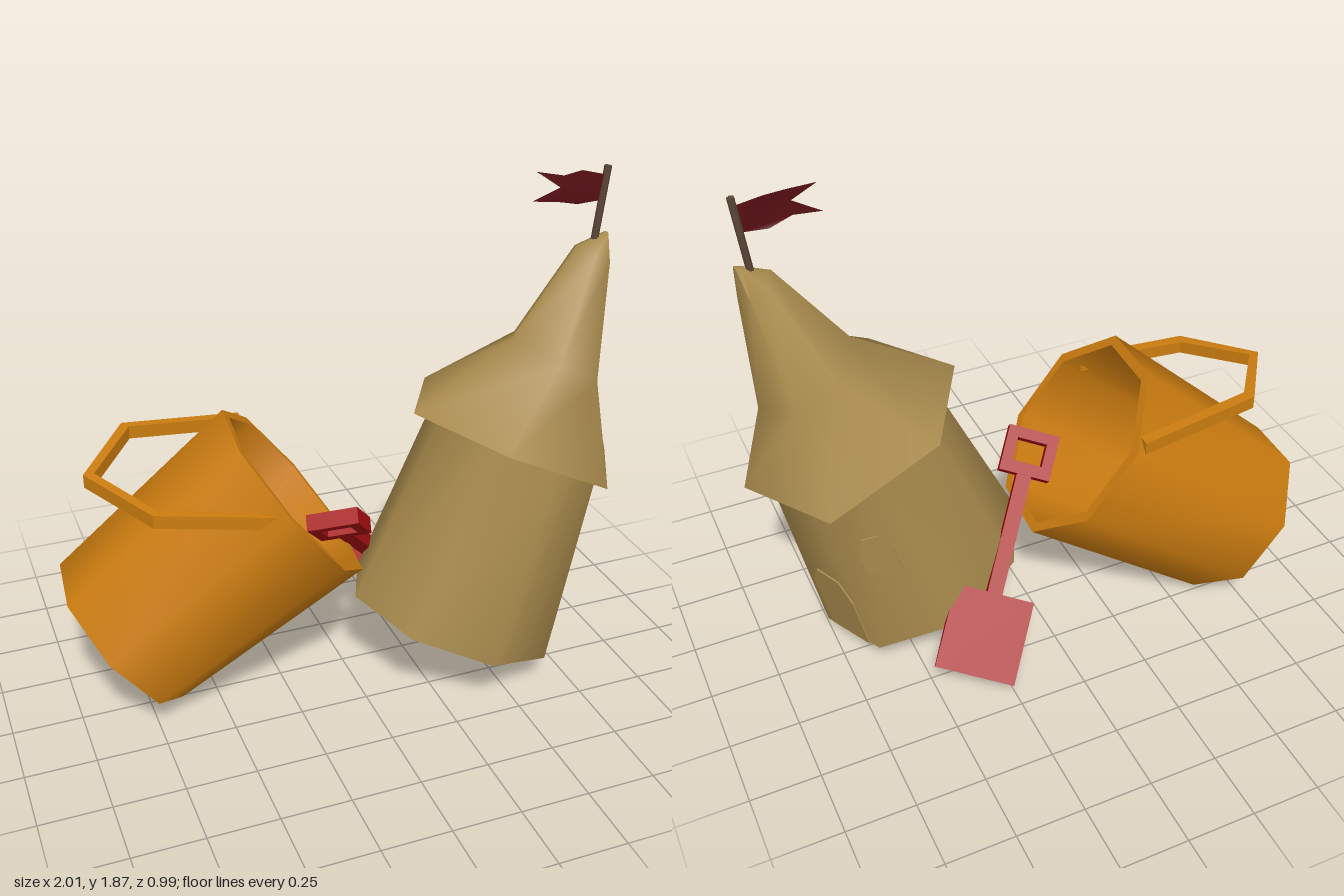
import * as THREE from 'three';
import { toCreasedNormals } from 'three/addons/utils/BufferGeometryUtils.js';

const V = (x, y, z) => new THREE.Vector3(x, y, z);
const mat = (name, color, side = THREE.FrontSide) => {
  const m = new THREE.MeshStandardMaterial({ color, side });
  m.name = name;
  return m;
};

// Skin through rings of points (counter-clockwise seen from the end), with fan caps
function loft(rings, crease) {
  const out = [];
  const tri = (...ps) => ps.forEach((p) => out.push(p.x, p.y, p.z));
  const mid = (r) => r.reduce((s, p) => s.add(p), V(0, 0, 0)).divideScalar(r.length);
  const n = rings[0].length, last = rings[rings.length - 1];
  const c0 = mid(rings[0]), c1 = mid(last);
  for (let j = 0; j < n; j++) {
    const k = (j + 1) % n;
    for (let i = 0; i < rings.length - 1; i++) {
      const a = rings[i][j], b = rings[i][k], c = rings[i + 1][k], d = rings[i + 1][j];
      tri(a, b, c);
      tri(a, c, d);
    }
    tri(c0, rings[0][k], rings[0][j]);
    tri(c1, last[j], last[k]);
  }
  const g = new THREE.BufferGeometry();
  g.setAttribute('position', new THREE.Float32BufferAttribute(out, 3));
  return toCreasedNormals(g, crease);
}

// Place an object by origin, up direction and approximate sideways direction
function orient(obj, origin, up, side) {
  const y = up.clone().normalize();
  const z = side.clone().cross(y).normalize();
  const x = y.clone().cross(z);
  obj.quaternion.setFromRotationMatrix(new THREE.Matrix4().makeBasis(x, y, z));
  obj.position.copy(origin);
  return obj;
}

const outline = (pts) => new THREE.Shape(pts.map(([x, y]) => new THREE.Vector2(x, y)));
const slab = (shape, depth) => new THREE.ExtrudeGeometry(shape, { depth, bevelEnabled: false });

export function createModel() {
  const model = new THREE.Group();
  const sand = mat('sand', 0xa88a4c);
  const orange = mat('bucketOrange', 0xcb7c10);
  const red = mat('shovelRed', 0xa60e10);
  const flagRed = mat('flagRed', 0x560e12, THREE.DoubleSide);
  const wood = mat('poleBrown', 0x5c4638);
  const add = (name, geo, material, parent = model) => {
    const m = new THREE.Mesh(geo, material);
    m.name = name;
    parent.add(m);
    return m;
  };

  // Sand tower: leaning, tapered eight-sided body
  const tower = new THREE.Group();
  tower.name = 'sandTower';
  model.add(tower);
  const ring8 = (cx, cy, ux, uy, w) => Array.from({ length: 8 }, (_, j) => {
    const a = (j * Math.PI) / 4;
    return V(cx + ux * Math.cos(a), cy + uy * Math.cos(a), 0.135 - w * Math.sin(a));
  });
  const foot = ring8(0.38, 0.215, 0.38, -0.152, 0.375);
  const top = ring8(0.62, 0.95, 0.3, -0.1, 0.325);
  add('towerBody', loft([foot, top], 1.0), sand, tower);

  // Door and window: thin plates lying on two faces of the body
  const panel = (name, j, h, pts) => {
    const base = foot[j].clone().lerp(foot[j + 1], 0.5);
    const up = top[j].clone().lerp(top[j + 1], 0.5).sub(base).normalize();
    const m = add(name, slab(outline(pts), 0.008), sand, tower);
    orient(m, base.clone().addScaledVector(up, h), up, foot[j + 1].clone().sub(foot[j]));
  };
  panel('door', 0, 0.01, [[-0.1, 0], [0.1, 0], [0.1, 0.22], [0.06, 0.31], [-0.05, 0.32], [-0.1, 0.24]]);
  panel('window', 1, 0.36, [[-0.06, 0], [0.06, 0], [0.06, 0.1], [0.03, 0.17], [-0.03, 0.17], [-0.06, 0.1]]);

  // Roof: six-sided rings given as right, right-mid, left-mid, left points and half depth
  const ring6 = ([r, rm, lm, l, w]) => [
    V(...r, 0.13), V(...rm, 0.13 - w), V(...lm, 0.13 - w),
    V(...l, 0.13), V(...lm, 0.13 + w), V(...rm, 0.13 + w),
  ];
  add('roof', loft([
    [[0.995, 0.79], [0.8, 0.83], [0.41, 1.025], [0.215, 1.065], 0.345],
    [[0.91, 1.1], [0.83, 1.16], [0.68, 1.24], [0.58, 1.29], 0.17],
    [[0.925, 1.53], [0.9, 1.55], [0.84, 1.575], [0.81, 1.6], 0.07],
    [[0.925, 1.635], [0.92, 1.635], [0.9, 1.63], [0.89, 1.628], 0.012],
  ].map(ring6), 1.2), sand, tower);

  // Flag pole and wavy swallow-tailed flag
  const poleFoot = V(0.87, 1.58, 0.13), poleTop = V(0.903, 1.87, 0.13);
  const pole = add('flagPole', new THREE.CylinderGeometry(0.013, 0.013, poleFoot.distanceTo(poleTop), 6), wood, tower);
  orient(pole, poleFoot.clone().lerp(poleTop, 0.5), poleTop.clone().sub(poleFoot), V(1, 0, 0));
  const flagGeo = new THREE.ShapeGeometry(outline([
    [0.895, 1.84], [0.88, 1.75], [0.8, 1.745], [0.72, 1.765], [0.63, 1.77],
    [0.72, 1.815], [0.64, 1.87], [0.73, 1.855], [0.81, 1.86],
  ]));
  const fp = flagGeo.attributes.position;
  for (let i = 0; i < fp.count; i++) fp.setZ(i, 0.13 + 0.012 * Math.sin((fp.getX(i) - 0.89) * 30));
  flagGeo.computeVertexNormals();
  add('flag', flagGeo, flagRed, tower);

  // Bucket: hollow eight-sided shell lying tipped back
  const bucket = new THREE.Group();
  bucket.name = 'bucket';
  model.add(bucket);
  const bFoot = V(-0.81, 0.25, -0.12), bTop = V(-0.175, 0.755, -0.03);
  const axis = bTop.clone().sub(bFoot), len = axis.length();
  const profile = [[0, 0], [0.335, 0], [0.386, len], [0.348, len], [0.3, 0.035], [0, 0.035]];
  const shell = add('bucketShell', toCreasedNormals(new THREE.LatheGeometry(
    profile.map(([r, y]) => new THREE.Vector2(r, y)), 8, Math.PI / 8), 1.0), orange, bucket);
  orient(shell, bFoot, axis, V(1, -1.25, 0));

  // Bucket handle: bent flat strip from the back side round to the front side
  const bail = [
    [-0.27, 0.9, -0.36, 0, -1], [-0.7, 0.945, -0.335, -0.5, -1], [-0.885, 0.908, -0.08, -1, 0],
    [-0.725, 0.862, 0.175, -0.5, 1], [-0.34, 0.825, 0.27, 0, 1],
  ].map(([x, y, z, ox, oz]) => [[1, -1], [-1, -1], [-1, 1], [1, 1]].map(
    ([o, u]) => V(x + o * ox * 0.019, y + u * 0.024, z + o * oz * 0.019)));
  add('bucketHandle', loft(bail, 0.3), orange, bucket);

  // Shovel: local y runs up the shaft, local z out of the open scoop
  const shovel = orient(new THREE.Group(), V(0.24, 0.32, -0.25), V(-0.517, 0.655, 0.552), V(0.83, 0.277, 0.484));
  shovel.name = 'shovel';
  model.add(shovel);
  const box = (name, w, h, d, x, y, z) =>
    add(name, new THREE.BoxGeometry(w, h, d), red, shovel).position.set(x, y, z);
  box('shovelShaft', 0.055, 0.46, 0.055, 0, 0.22, 0.035);
  box('scoopFloor', 0.28, 0.3, 0.018, 0, -0.15, 0.009);
  box('scoopBack', 0.28, 0.025, 0.085, 0, -0.0125, 0.0425);
  for (const s of [-1, 1]) {
    // Side wall tapering toward the tip
    const wall = add('scoopSide', slab(outline([[0, 0], [0, 0.085], [-0.3, 0.02], [-0.3, 0]]), 0.025), red, shovel);
    wall.geometry.applyMatrix4(new THREE.Matrix4().makeBasis(V(0, 1, 0), V(0, 0, 1), V(1, 0, 0)));
    wall.position.x = s * 0.1325 - 0.0125;
  }
  const grip = outline([[-0.095, 0.44], [0.095, 0.44], [0.095, 0.61], [-0.095, 0.61]]);
  grip.holes.push(outline([[-0.055, 0.485], [-0.055, 0.57], [0.055, 0.57], [0.055, 0.485]]));
  add('shovelGrip', slab(grip, 0.06), red, shovel).position.z = 0.005;

  return model;
}
